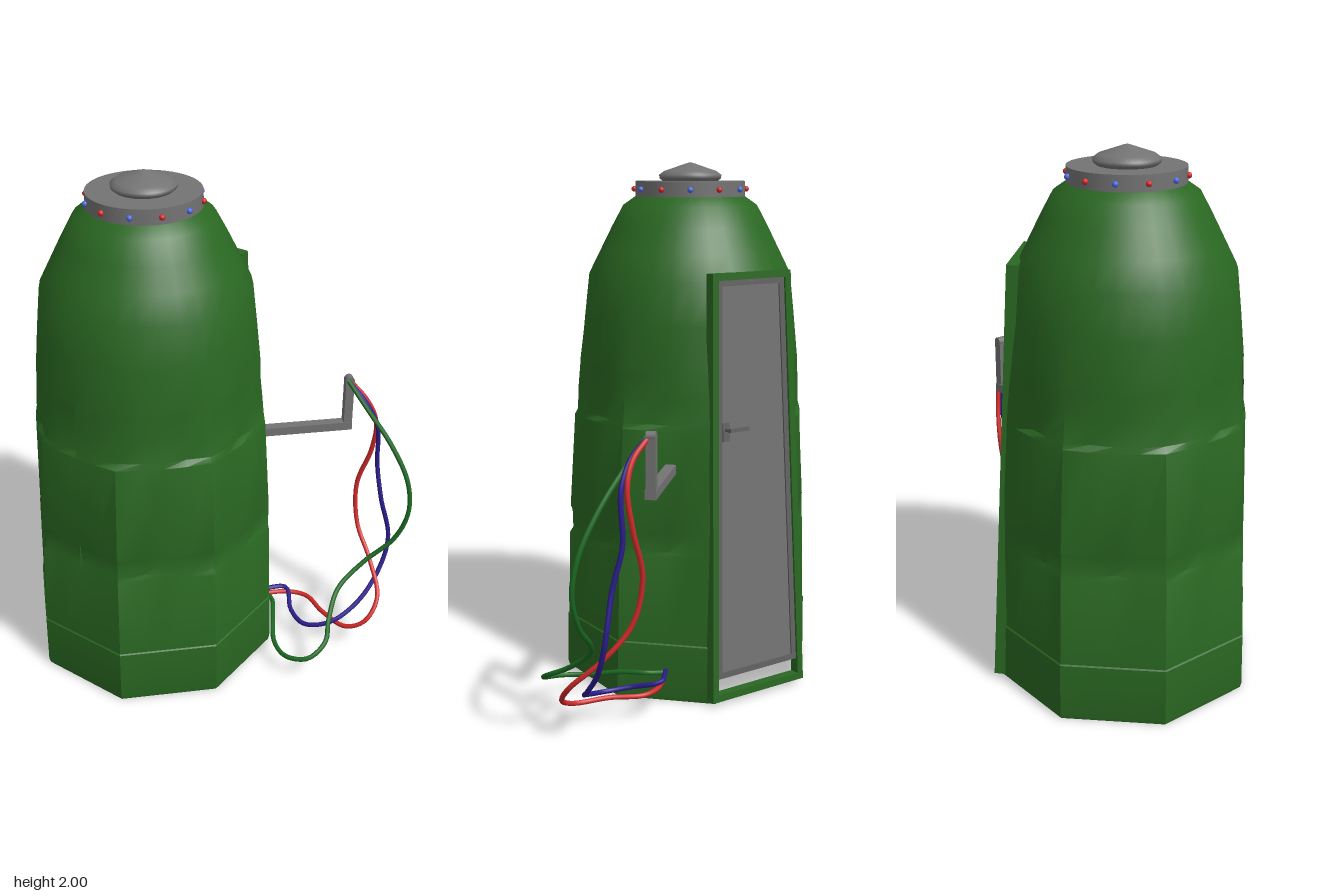
import * as THREE from 'three';
import { toCreasedNormals } from 'three/addons/utils/BufferGeometryUtils.js';

const CX = -0.205, CZ = 0.08; // axis of the cabin

const mat = (color) => new THREE.MeshStandardMaterial({ color, side: THREE.DoubleSide });

function add(parent, name, geometry, material, x = 0, y = 0, z = 0) {
  const mesh = new THREE.Mesh(geometry, material);
  mesh.name = name;
  mesh.position.set(x, y, z);
  parent.add(mesh);
  return mesh;
}

// Octagonal shell that turns round towards the top, open behind the door.
function shellGeometry() {
  const N = 32, step = (Math.PI * 2) / N;
  // height, half width, dent depth
  const rows = [
    [0, 0.455, 0], [0.02, 0.46, 0], [0.22, 0.457, 0], [0.225, 0.453, 0], [0.56, 0.446, 0],
    [0.58, 0.445, 0.012], [0.65, 0.444, 0.008], [0.67, 0.444, 0], [1.04, 0.436, 0],
    [1.06, 0.435, 0.018], [1.15, 0.431, 0.012], [1.24, 0.424, 0.006], [1.26, 0.422, 0],
    [1.42, 0.407, 0], [1.58, 0.39, 0], [1.67, 0.345, 0], [1.76, 0.3, 0], [1.84, 0.257, 0], [1.88, 0.2, 0],
  ];
  const point = (j, i) => {
    const [y, a, dent] = rows[j];
    const th = i * step;
    const side = Math.PI / 4;
    const off = th - Math.round(th / side) * side;
    const round = THREE.MathUtils.smoothstep(y, 0.5, 1.65);
    const front = Math.abs(th - Math.PI) > 0.7 ? 1 : 0;
    const wave = 0.55 + 0.45 * Math.sin(i * 2.1 + y * 3);
    const r = a * THREE.MathUtils.lerp(1 / Math.cos(off), 1, round) - dent * wave * front;
    return [CX + r * Math.sin(th), y, CZ + r * Math.cos(th)];
  };
  const pos = [];
  for (let j = 0; j < rows.length - 1; j++) {
    for (let i = 0; i < N; i++) {
      if (i >= 14 && i < 18 && rows[j][0] < 1.57) continue; // doorway
      const a = point(j, i), b = point(j, i + 1), c = point(j + 1, i + 1), d = point(j + 1, i);
      pos.push(...a, ...b, ...c, ...a, ...c, ...d);
    }
  }
  const g = new THREE.BufferGeometry();
  g.setAttribute('position', new THREE.Float32BufferAttribute(pos, 3));
  return toCreasedNormals(g, 0.6);
}

// Tapered plate: half widths at the bottom and top, optional hole inset.
function plate(y0, y1, w0, w1, depth, hole) {
  const corners = (a, b, u, v) => [[-u, a], [u, a], [v, b], [-v, b]].map((p) => new THREE.Vector2(...p));
  const shape = new THREE.Shape(corners(y0, y1, w0, w1));
  if (hole) shape.holes.push(new THREE.Path(corners(y0 + hole, y1 - hole, w0 - hole, w1 - hole).reverse()));
  return new THREE.ExtrudeGeometry(shape, { depth, bevelEnabled: false });
}

function cable(points) {
  const curve = new THREE.CatmullRomCurve3(points.map((p) => new THREE.Vector3(...p)));
  return new THREE.TubeGeometry(curve, 90, 0.0095, 8);
}

export function createModel() {
  const root = new THREE.Group();
  root.name = 'cabin';
  const green = mat(0x2a6822), grey = mat(0x737373), darkGrey = mat(0x626262);
  const red = mat(0xd02a2a), blue = mat(0x2a1c8c), cableGreen = mat(0x1c6a22), lampBlue = mat(0x4a6ae0);

  add(root, 'shell', shellGeometry(), green);

  // Roof ring with its cap
  add(root, 'roofRing', new THREE.CylinderGeometry(0.21, 0.21, 0.06, 48), grey, CX, 1.9, CZ);
  const capProfile = [[0.1, 1.925], [0.118, 1.94], [0.119, 1.953], [0.1, 1.967], [0.05, 1.984], [0.012, 1.997], [0, 2]];
  const cap = new THREE.LatheGeometry(capProfile.map((p) => new THREE.Vector2(...p)), 40);
  add(root, 'roofCap', cap, grey, CX, 0, CZ);

  // Alternating lamps around the ring
  for (let k = 0; k < 12; k++) {
    const a = THREE.MathUtils.degToRad(5 + 30 * k);
    add(root, 'lamp', new THREE.SphereGeometry(0.011, 10, 8), k % 2 ? red : lampBlue,
      CX + 0.214 * Math.cos(a), 1.9, CZ + 0.214 * Math.sin(a));
  }

  // Leaning door on the back; local +z points outwards
  const door = new THREE.Group();
  door.name = 'door';
  door.position.set(CX, 0.015, -0.36);
  door.rotation.order = 'YXZ';
  door.rotation.set(-0.053, Math.PI, 0);
  add(door, 'doorFrame', plate(0, 1.597, 0.218, 0.178, 0.04, 0.026), green);
  add(door, 'doorLeaf', plate(0.085, 1.572, 0.192, 0.152, 0.018), grey, 0, 0, 0.008);
  add(door, 'doorBorder', plate(0.085, 1.572, 0.19, 0.152, 0.006, 0.022), darkGrey, 0, 0, 0.026);
  const stem = add(door, 'handleStem', new THREE.CylinderGeometry(0.008, 0.008, 0.04, 12), darkGrey, -0.125, 1.03, 0.045);
  stem.rotation.x = Math.PI / 2;
  add(door, 'handleLever', new THREE.BoxGeometry(0.085, 0.014, 0.012), darkGrey, -0.09, 1.03, 0.062);
  add(door, 'handlePlate', new THREE.BoxGeometry(0.03, 0.07, 0.006), darkGrey, -0.125, 1.02, 0.028);
  root.add(door);

  // Bracket arm carrying the cables
  const arm = new THREE.Group();
  arm.name = 'bracketArm';
  arm.position.set(0.1, 0, -0.24);
  arm.rotation.y = Math.PI / 4;
  add(arm, 'armBar', new THREE.BoxGeometry(0.37, 0.034, 0.04), grey, 0.185, 0.902, 0);
  add(arm, 'armPost', new THREE.BoxGeometry(0.034, 0.22, 0.034), grey, 0.353, 0.995, 0);
  const tip = add(arm, 'armTip', new THREE.CylinderGeometry(0.018, 0.018, 0.034, 16), grey, 0.353, 1.102, 0);
  tip.rotation.x = Math.PI / 2;
  root.add(arm);

  // Hanging cables
  add(root, 'redCable', cable([
    [0.35, 1.105, -0.485], [0.43, 1.03, -0.5], [0.465, 0.94, -0.52], [0.45, 0.8, -0.53], [0.402, 0.62, -0.515],
    [0.43, 0.45, -0.492], [0.52, 0.33, -0.45], [0.61, 0.22, -0.37], [0.6, 0.14, -0.295], [0.53, 0.1, -0.262],
    [0.4, 0.1, -0.29], [0.29, 0.1, -0.342], [0.21, 0.1, -0.32], [0.12, 0.1, -0.235]]), red);
  add(root, 'blueCable', cable([
    [0.355, 1.1, -0.48], [0.43, 1.03, -0.485], [0.48, 0.93, -0.505], [0.485, 0.75, -0.52], [0.52, 0.6, -0.51],
    [0.56, 0.42, -0.525], [0.56, 0.3, -0.48], [0.535, 0.18, -0.36], [0.47, 0.11, -0.24], [0.37, 0.08, -0.197],
    [0.28, 0.09, -0.235], [0.2, 0.12, -0.318], [0.12, 0.12, -0.24]]), blue);
  add(root, 'greenCable', cable([
    [0.355, 1.105, -0.475], [0.45, 1, -0.478], [0.56, 0.87, -0.488], [0.64, 0.73, -0.492], [0.66, 0.6, -0.482],
    [0.62, 0.47, -0.455], [0.53, 0.36, -0.38], [0.48, 0.27, -0.27], [0.505, 0.19, -0.16], [0.54, 0.145, -0.08],
    [0.51, 0.1, 0], [0.42, 0.08, 0.02], [0.33, 0.08, -0.03], [0.25, 0.11, -0.14], [0.19, 0.12, -0.22], [0.12, 0.11, -0.235]]), cableGreen);

  return root;
}
